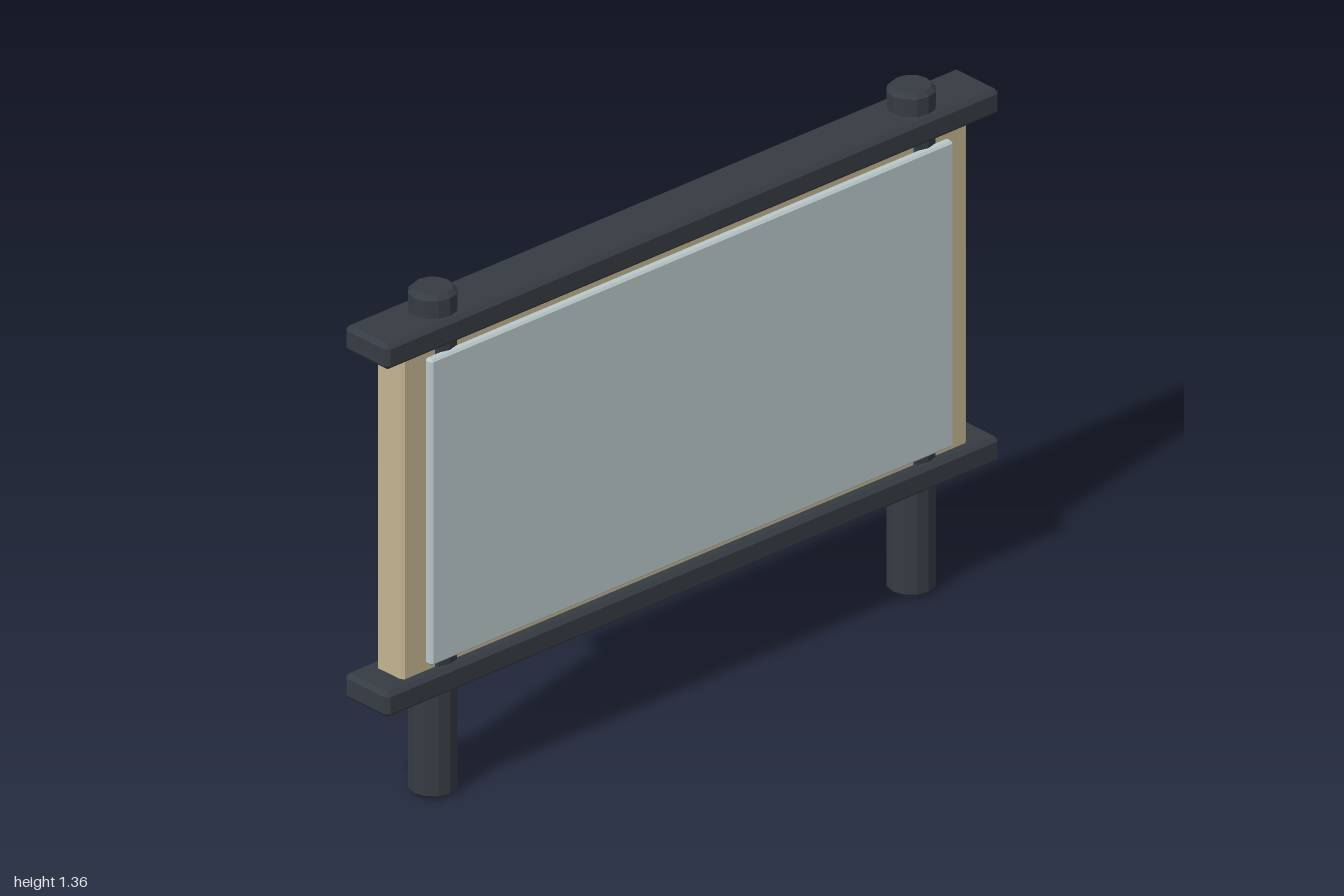
import * as THREE from 'three';
import { ConvexGeometry } from 'three/addons/geometries/ConvexGeometry.js';

const mat = (name, color) => {
  const m = new THREE.MeshStandardMaterial({ color, flatShading: true });
  m.name = name;
  return m;
};

// Box with chamfered edges, given its full size and the chamfer width
function chamferBox(w, h, d, c) {
  const points = [];
  for (const x of [-1, 1]) for (const y of [-1, 1]) for (const z of [-1, 1]) {
    for (const [a, b, e] of [[0, c, c], [c, 0, c], [c, c, 0]]) {
      points.push(new THREE.Vector3(x * (w / 2 - a), y * (h / 2 - b), z * (d / 2 - e)));
    }
  }
  return new ConvexGeometry(points);
}

export function createModel() {
  const model = new THREE.Group();
  model.name = 'signboard';
  const dark = mat('dark frame', 0x363c43);
  const tan = mat('tan board', 0xc4b591);
  const pale = mat('pale blue panel', 0xb9c8c9);

  const add = (name, geometry, material, x, y, z) => {
    const mesh = new THREE.Mesh(geometry, material);
    mesh.name = name;
    mesh.position.set(x, y, z);
    model.add(mesh);
  };

  // Round posts with chamfered ends, running through both rails
  const profile = [[0, 0], [0.049, 0], [0.061, 0.012], [0.061, 1.348], [0.049, 1.36], [0, 1.36]]
    .map(([r, y]) => new THREE.Vector2(r, y));
  const post = new THREE.LatheGeometry(profile, 12);
  add('leftPost', post, dark, 0.78, 0, 0);
  add('rightPost', post, dark, -0.78, 0, 0);

  // Horizontal rails
  const rail = chamferBox(2, 0.068, 0.156, 0.011);
  add('bottomRail', rail, dark, 0, 0.328, 0);
  add('topRail', rail, dark, 0, 1.267, 0);

  // Backing board and the display panel on its front
  add('backingBoard', chamferBox(1.844, 0.895, 0.094, 0.008), tan, 0, 0.7975, 0);
  add('displayPanel', chamferBox(1.704, 0.826, 0.026, 0.006), pale, 0, 0.797, 0.061);

  return model;
}
